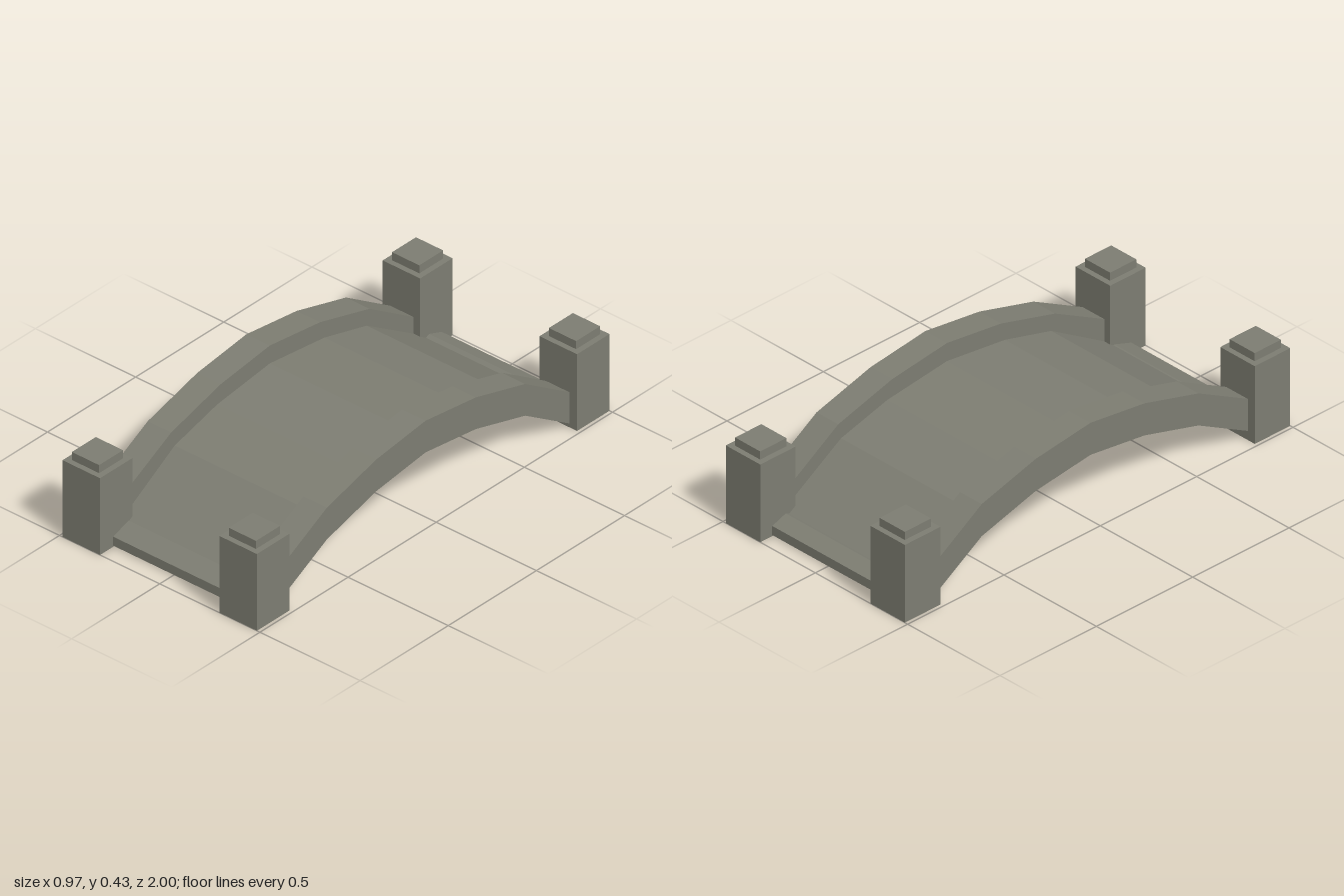
import * as THREE from 'three';

// Extrudes a side profile of [z, y] points across x, from x0 to x1.
function profileAcrossX(points, x0, x1) {
  const shape = new THREE.Shape(points.map(([z, y]) => new THREE.Vector2(-z, y)));
  const geometry = new THREE.ExtrudeGeometry(shape, { depth: x1 - x0, bevelEnabled: false });
  geometry.rotateY(Math.PI / 2);
  geometry.translate(x0, 0, 0);
  return geometry;
}

// Closed outline between an upper and a lower polyline.
const band = (upper, lower) => [...upper, ...lower.slice().reverse()];

export function createModel() {
  const model = new THREE.Group();
  model.name = 'archedStoneBridge';
  const stone = new THREE.MeshStandardMaterial({ color: 0x7d7d72, flatShading: true });
  stone.name = 'grey stone';

  const add = (name, geometry, x = 0, y = 0, z = 0) => {
    const mesh = new THREE.Mesh(geometry, stone);
    mesh.name = name;
    mesh.position.set(x, y, z);
    model.add(mesh);
  };

  // Curved walkway
  const deckTop = [[0.835, 0.072], [0.54, 0.25], [0.3, 0.315], [0, 0.352],
    [-0.31, 0.315], [-0.55, 0.25], [-0.86, 0.055]];
  const deckBottom = [[0.835, 0.03], [0.555, 0.19], [0.28, 0.27], [0, 0.303],
    [-0.285, 0.27], [-0.565, 0.19], [-0.86, 0.01]];
  add('deck', profileAcrossX(band(deckTop, deckBottom), -0.335, 0.335));

  // Arched side walls, running into the posts
  const wallTop = [[0.85, 0.164], [0.56, 0.318], [0.28, 0.396], [0, 0.432],
    [-0.285, 0.396], [-0.565, 0.318], [-0.84, 0.142]];
  const wallBottom = wallTop.map(([z, y]) => [z, Math.max(y - 0.142, 0.002)]);
  const wall = band(wallTop, wallBottom);
  add('leftWall', profileAcrossX(wall, 0.33, 0.447));
  add('rightWall', profileAcrossX(wall, -0.447, -0.33));

  // Sloped thresholds at both ends
  add('frontThreshold', profileAcrossX(
    [[0.925, 0.005], [0.925, 0.045], [0.838, 0.075], [0.82, 0.07], [0.82, 0.005]], -0.305, 0.305));
  add('backThreshold', profileAcrossX(
    [[-0.938, 0.005], [-0.938, 0.045], [-0.868, 0.07], [-0.82, 0.05], [-0.82, 0.005]], -0.305, 0.305));

  // Corner posts with square caps
  const post = new THREE.BoxGeometry(0.187, 0.344, 0.184);
  const cap = new THREE.BoxGeometry(0.136, 0.036, 0.136);
  for (const sx of [1, -1]) {
    for (const sz of [1, -1]) {
      const name = (sz > 0 ? 'front' : 'back') + (sx > 0 ? 'Left' : 'Right');
      add(name + 'Post', post, sx * 0.3915, 0.172, sz * 0.908);
      add(name + 'Cap', cap, sx * 0.3915, 0.362, sz * 0.908);
    }
  }
  return model;
}
